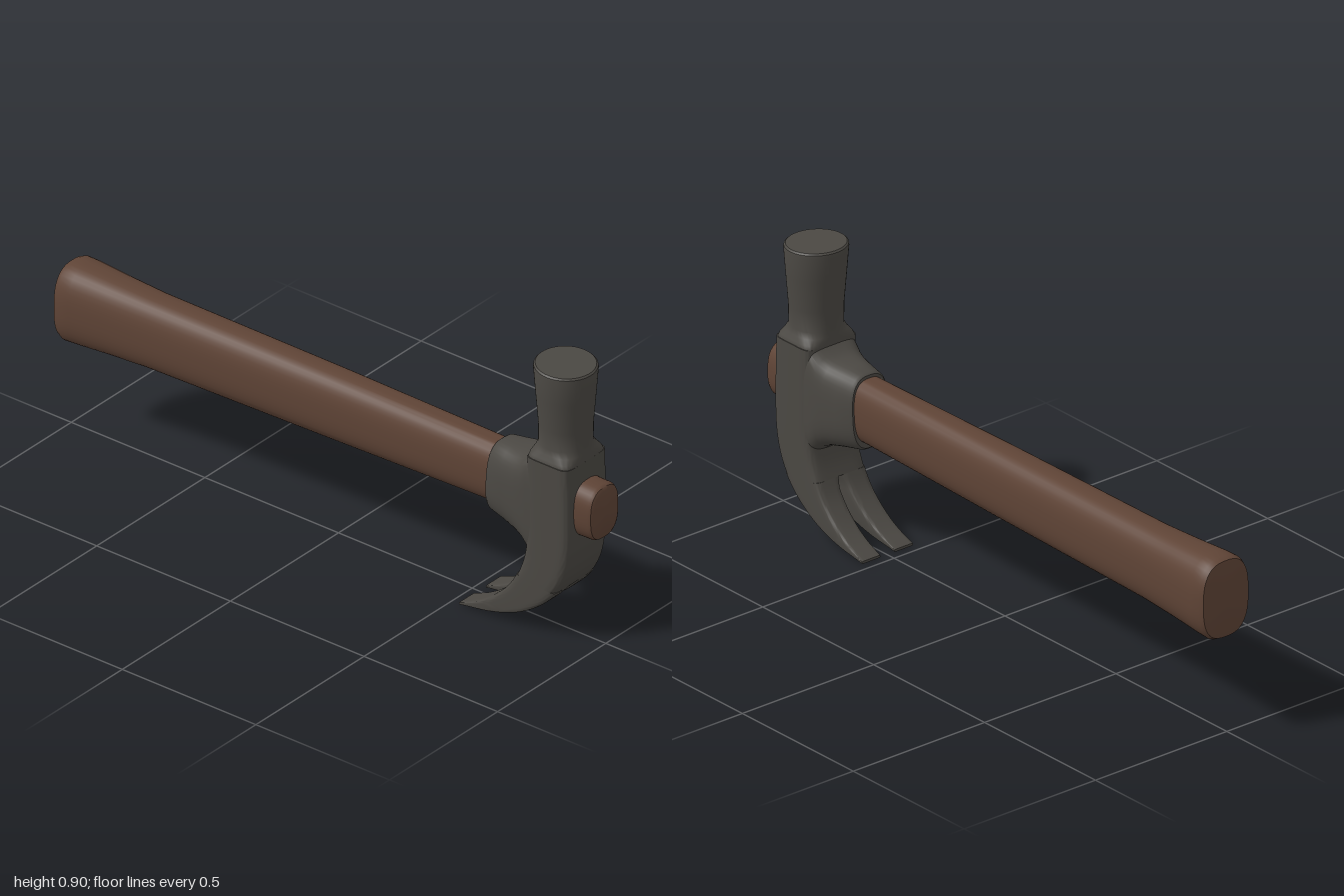
import * as THREE from 'three';
import { toCreasedNormals } from 'three/addons/utils/BufferGeometryUtils.js';

const V = (x, y, z) => new THREE.Vector3(x, y, z);

// Superellipse ring about c with half axes u and v; n = 2 is round, larger is squarer
function ring(c, u, v, n, sides = 40) {
  const pow = (t) => Math.sign(t) * Math.abs(t) ** (2 / n);
  return Array.from({ length: sides }, (_, i) => {
    const a = ((i + 0.5) / sides) * Math.PI * 2;
    return c.clone().addScaledVector(u, pow(Math.cos(a))).addScaledVector(v, pow(Math.sin(a)));
  });
}

// Closed solid through a list of rings, capped at both ends and turned outwards
function loft(rings, crease = 0.6) {
  const tris = [];
  const n = rings[0].length;
  const mid = (r) => r.reduce((s, p) => s.add(p), V(0, 0, 0)).divideScalar(n);
  const first = rings[0], last = rings[rings.length - 1];
  const c0 = mid(first), c1 = mid(last);
  for (let j = 0; j < n; j++) {
    const k = (j + 1) % n;
    for (let i = 0; i + 1 < rings.length; i++) {
      const a = rings[i], b = rings[i + 1];
      tris.push([a[j], a[k], b[k]], [a[j], b[k], b[j]]);
    }
    tris.push([c0, first[k], first[j]], [c1, last[j], last[k]]);
  }
  const volume = tris.reduce((s, [a, b, c]) => s + a.clone().sub(c0).dot(b.clone().sub(c0).cross(c.clone().sub(c0))), 0);
  if (volume < 0) tris.forEach((t) => t.reverse());
  const g = new THREE.BufferGeometry().setFromPoints(tris.flat());
  return toCreasedNormals(g, crease);
}

export function createModel() {
  const model = new THREE.Group();
  model.name = 'clawHammer';
  const wood = new THREE.MeshStandardMaterial({ color: 0x5f4436 });
  wood.name = 'brown wood';
  const metal = new THREE.MeshStandardMaterial({ color: 0x4b4843 });
  metal.name = 'dark metal';
  const add = (name, geometry, material) => {
    const m = new THREE.Mesh(geometry, material);
    m.name = name;
    model.add(m);
  };

  // Section across the x axis between two heights
  const xRing = (x, y0, y1, hz, n, tilt = 0) => {
    const h = (y1 - y0) / 2;
    return ring(V(x, (y0 + y1) / 2, 0), V(tilt, h, 0), V(0, 0, hz), n);
  };

  // Handle: flared grip, slim shaft, end showing through the head
  add('handle', loft([
    [-1, 0.325, 0.535, 0.072], [-0.996, 0.307, 0.553, 0.086], [-0.98, 0.299, 0.56, 0.092],
    [-0.94, 0.301, 0.56, 0.091], [-0.82, 0.309, 0.554, 0.083], [-0.68, 0.316, 0.549, 0.076],
    [0, 0.33, 0.548, 0.07], [0.6, 0.343, 0.543, 0.062], [0.9, 0.353, 0.535, 0.068],
    [0.985, 0.355, 0.533, 0.068], [0.995, 0.36, 0.528, 0.064], [1, 0.369, 0.519, 0.056],
  ].map((r) => xRing(...r, 2.7))), wood);

  // Socket gripping the handle and flaring into the head
  add('socket', loft([
    [0.606, 0.325, 0.552, 0.068, 2.8, 0.007], [0.615, 0.318, 0.558, 0.074, 2.8, 0.007],
    [0.67, 0.306, 0.562, 0.083, 3], [0.72, 0.296, 0.566, 0.092, 3.4],
    [0.75, 0.285, 0.575, 0.096, 4], [0.775, 0.262, 0.597, 0.097, 5], [0.83, 0.25, 0.6, 0.096, 5],
  ].map((r) => xRing(...r))), metal);

  // Neck and striking face: square shoulder turning into a flared round poll
  add('poll', loft([
    [0.57, 0.08, 0.097, 6], [0.594, 0.081, 0.096, 6], [0.606, 0.08, 0.092, 5], [0.62, 0.078, 0.085, 3],
    [0.637, 0.077, 0.08, 2.2], [0.7, 0.08, 0.083, 2], [0.8, 0.088, 0.091, 2],
    [0.884, 0.095, 0.097, 2], [0.891, 0.094, 0.096, 2], [0.896, 0.089, 0.091, 2],
  ].map(([y, hx, hz, n]) => ring(V(0.851, y, 0), V(hx, y > 0.65 ? -0.004 : 0, 0), V(0, 0, hz), n))), metal);

  // Inner and outer edge of the head, from the shoulder to the claw tip
  const edge = (pts) => new THREE.CatmullRomCurve3(pts.map(([x, y]) => V(x, y, 0)));
  const inner = edge([[0.772, 0.595], [0.77, 0.45], [0.768, 0.29], [0.75, 0.215],
    [0.713, 0.14], [0.66, 0.083], [0.6, 0.041], [0.53, 0.009]]);
  const outer = edge([[0.932, 0.595], [0.936, 0.45], [0.931, 0.29], [0.905, 0.2],
    [0.847, 0.122], [0.76, 0.059], [0.66, 0.022], [0.53, 0.001]]);
  const headRing = (t, z0, z1, n) => {
    const a = inner.getPoint(t), b = outer.getPoint(t);
    const c = a.clone().add(b).multiplyScalar(0.5).setZ((z0 + z1) / 2);
    return ring(c, b.sub(a).multiplyScalar(0.5), V(0, 0, (z1 - z0) / 2), n);
  };
  const steps = (t0, t1, count, f) => Array.from({ length: count + 1 }, (_, i) => f(t0 + ((t1 - t0) * i) / count, i / count));

  // Solid body around the eye, down to the root of the slot
  const split = 0.49;
  add('headBody', loft(steps(0, split, 14, (t) => headRing(t, -0.098, 0.098, 7))), metal);

  // Two curved prongs with a slot that widens to the tips
  for (const side of [1, -1]) {
    const prong = loft(steps(split, 1, 18, (t, k) => {
      const gap = 0.002 + 0.008 * Math.min(1, k * 9) + 0.017 * k;
      const z = [side * gap, side * 0.097];
      return headRing(t, Math.min(...z), Math.max(...z), 7);
    }));
    add(side > 0 ? 'frontProng' : 'backProng', prong, metal);
  }
  return model;
}
